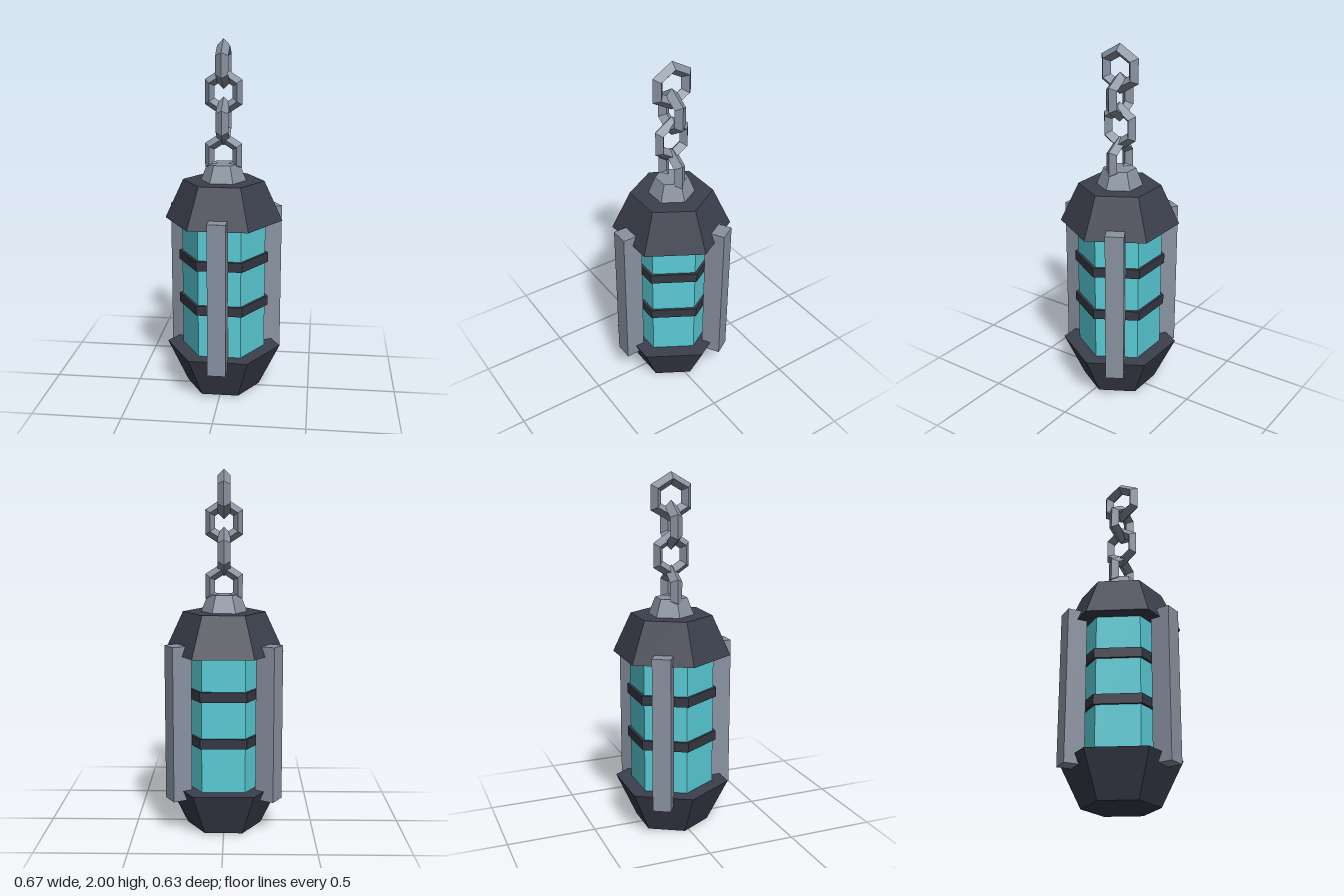
import * as THREE from 'three';

const mat = (name, color) => Object.assign(new THREE.MeshStandardMaterial({ color, flatShading: true }), { name });

// Six-sided frustum with corners on the x axis
function hex(name, material, rTop, rBottom, y0, y1) {
  const geo = new THREE.CylinderGeometry(rTop, rBottom, y1 - y0, 6, 1, false, Math.PI / 6);
  const mesh = new THREE.Mesh(geo, material);
  mesh.position.y = (y0 + y1) / 2;
  mesh.name = name;
  return mesh;
}

// Hexagonal ring in the y-z plane with a diamond section, twisted a quarter turn on its sloping sides
function linkGeometry(width) {
  const R = 0.1, t = 0.035, pos = [];
  const point = (i, k) => {
    const phi = (i % 6) * Math.PI / 3, a = k * Math.PI / 2;
    const r = R + t * Math.cos(a);
    return [t * Math.sin(a), r * Math.cos(phi), r * Math.sin(phi) * width];
  };
  for (let i = 0; i < 6; i++) {
    const s = i % 3 === 1 ? 0 : 1; // upright sides stay straight
    for (let k = 0; k < 4; k++) {
      const a0 = point(i, k), a1 = point(i, k + 1);
      const b0 = point(i + 1, k + s), b1 = point(i + 1, k + s + 1);
      pos.push(...a0, ...b0, ...a1, ...a1, ...b0, ...b1);
    }
  }
  const geo = new THREE.BufferGeometry();
  geo.setAttribute('position', new THREE.Float32BufferAttribute(pos, 3));
  geo.computeVertexNormals();
  return geo;
}

export function createModel() {
  const darkIron = mat('dark iron', 0x3c404e);
  const bandIron = mat('band iron', 0x343843);
  const steel = mat('grey steel', 0x8a93a2);
  const glass = mat('teal glass', 0x5accd7);

  const model = new THREE.Group();
  model.name = 'hangingLantern';
  const body = new THREE.Group();
  body.name = 'lantern';
  body.position.z = -0.028;
  model.add(body);

  // Body: base, glass, bands, roof and neck
  body.add(
    hex('base', darkIron, 0.33, 0.21, 0, 0.245),
    hex('glass', glass, 0.238, 0.238, 0.2, 1.04),
    hex('lowerBand', bandIron, 0.255, 0.255, 0.495, 0.55),
    hex('upperBand', bandIron, 0.255, 0.255, 0.755, 0.81),
    hex('roof', darkIron, 0.229, 0.333, 1.0, 1.225),
    hex('neck', steel, 0.09, 0.128, 1.225, 1.32)
  );

  // Three upright posts around the body
  for (let i = 0; i < 3; i++) {
    const arm = new THREE.Group();
    arm.name = 'postArm';
    arm.rotation.y = i * Math.PI * 2 / 3;
    const post = new THREE.Mesh(new THREE.BoxGeometry(0.102, 0.865, 0.112), steel);
    post.name = 'post';
    post.position.set(0, 0.6225, 0.288);
    arm.add(post);
    body.add(arm);
  }

  // Chain, links turned alternately
  [1.365, 1.555, 1.715, 1.865].forEach((y, i) => {
    const link = new THREE.Mesh(linkGeometry(i === 3 ? 1 : 0.88), steel);
    link.name = 'chainLink';
    link.position.y = y;
    link.rotation.y = i % 2 ? 0 : Math.PI / 2;
    body.add(link);
  });

  return model;
}
